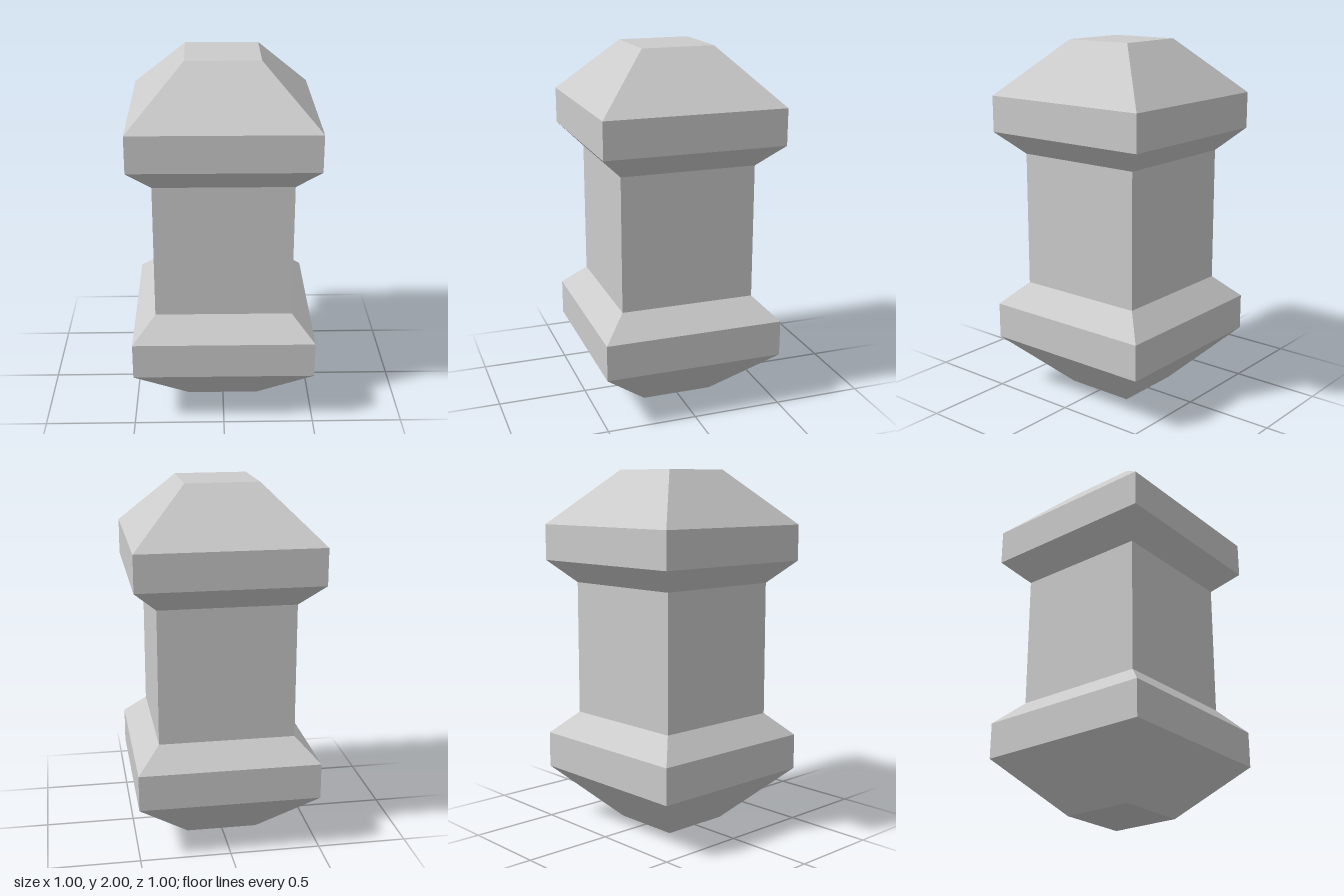
import * as THREE from 'three';

const material = new THREE.MeshStandardMaterial({ color: 0xcccccc, flatShading: true });

// Square-section solid from a [half width, height] profile, listed bottom to top
function squareTurned(name, profile) {
  const points = profile.map(([half, y]) => new THREE.Vector2(half * Math.SQRT2, y));
  const mesh = new THREE.Mesh(new THREE.LatheGeometry(points, 4, Math.PI / 4), material);
  mesh.name = name;
  return mesh;
}

export function createModel() {
  const model = new THREE.Group();
  model.name = 'squarePillar';
  const height = 2;

  // Flared end block: flat foot, wide slope, upright band, short slope to the shaft
  const end = [[0, 0], [0.2, 0], [0.5, 0.3], [0.5, 0.5], [0.375, 0.625]];
  const mirrored = end.map(([half, y]) => [half, height - y]).reverse();

  model.add(
    squareTurned('base', end),
    squareTurned('shaft', [[0.375, 0.625], [0.375, 1.375]]),
    squareTurned('cap', mirrored),
  );
  return model;
}
